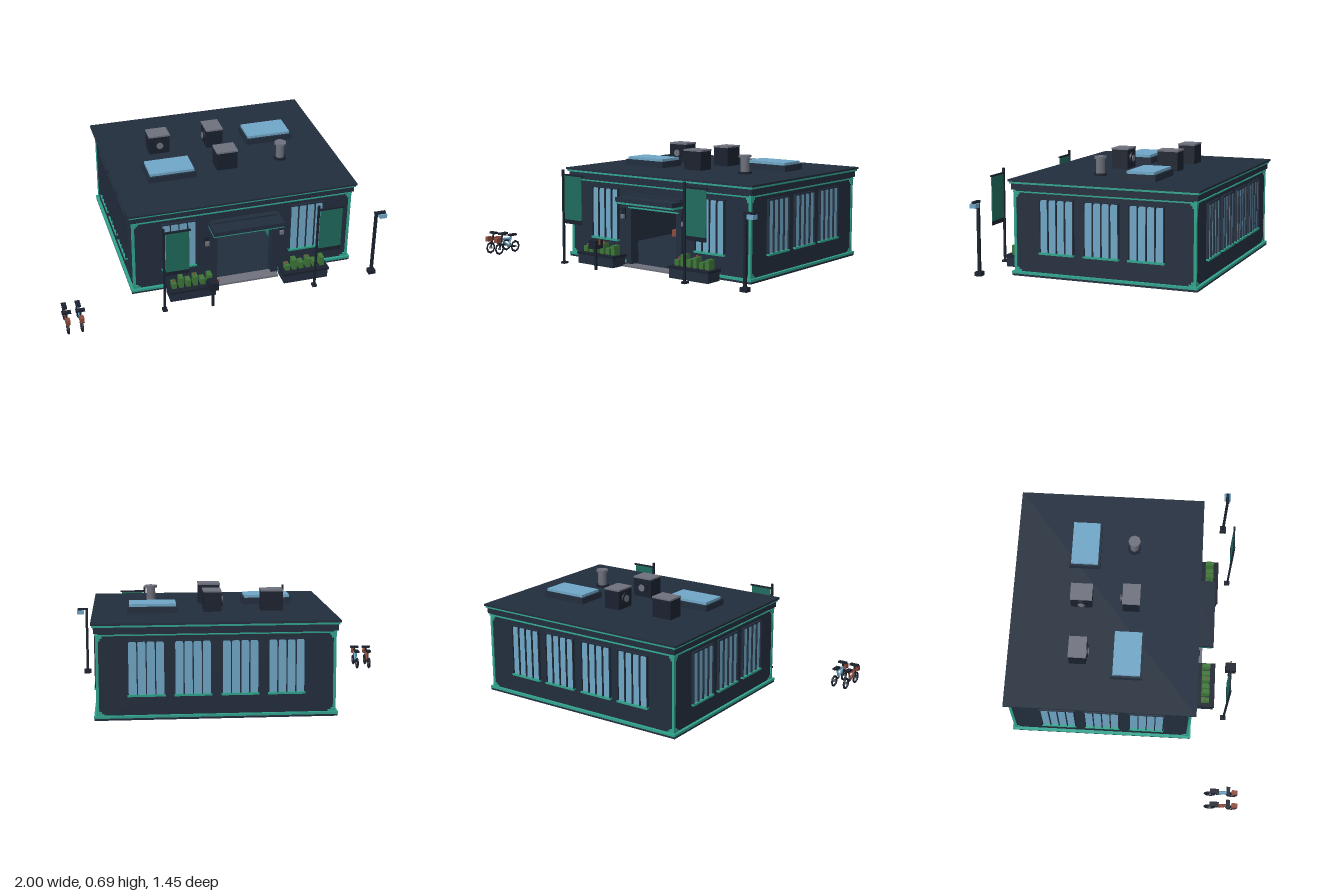
import * as THREE from 'three';

const mat = (name, color) => Object.assign(new THREE.MeshStandardMaterial({ color }), { name });

export function createModel() {
  const navy = mat('navy wall', 0x222d3d);
  const dark = mat('dark metal', 0x1a212e);
  const teal = mat('teal trim', 0x30a38d);
  const cloth = mat('banner green', 0x1f6a5c);
  const blue = mat('glass blue', 0x6fa6c6);
  const grey = mat('grey metal', 0x6e717c);
  const leaf = mat('leaf green', 0x3d7538);
  const rust = mat('rust red', 0x8c4a3a);
  const model = new THREE.Group();
  model.name = 'building';

  const add = (parent, name, geo, m, x = 0, y = 0, z = 0) => {
    const mesh = new THREE.Mesh(geo, m);
    mesh.name = name;
    mesh.position.set(x, y, z);
    parent.add(mesh);
    return mesh;
  };
  // box given by its limits on each axis
  const box = (parent, name, m, x0, x1, y0, y1, z0, z1) =>
    add(parent, name, new THREE.BoxGeometry(x1 - x0, y1 - y0, z1 - z0), m,
      (x0 + x1) / 2, (y0 + y1) / 2, (z0 + z1) / 2);
  const group = (name, x = 0, y = 0, z = 0, ry = 0) => {
    const g = new THREE.Group();
    g.name = name;
    g.position.set(x, y, z);
    g.rotation.y = ry;
    model.add(g);
    return g;
  };

  // shell: floor, walls with a doorway, roof
  const X0 = -0.52, X1 = 0.84, Z0 = -0.70, Z1 = 0.395, T = 0.03;
  const shell = group('shell');
  box(shell, 'floor', navy, X0 + T, X1 - T, 0.006, 0.014, Z0 + T, Z1);
  box(shell, 'backWall', navy, X0, X1, 0.005, 0.53, Z0, Z0 + T);
  box(shell, 'rightWall', navy, X0, X0 + T, 0.005, 0.53, Z0 + T, Z1 - T);
  box(shell, 'leftWall', navy, X1 - T, X1, 0.005, 0.53, Z0 + T, Z1 - T);
  box(shell, 'frontWallRight', navy, X0, -0.01, 0.005, 0.53, Z1 - T, Z1);
  box(shell, 'frontWallLeft', navy, 0.335, X1, 0.005, 0.53, Z1 - T, Z1);
  box(shell, 'wallAboveDoor', navy, -0.01, 0.335, 0.36, 0.53, Z1 - T, Z1);
  box(shell, 'cornice', navy, X0 - 0.015, X1 + 0.015, 0.5, 0.536, Z0 - 0.015, Z1 + 0.015);
  box(shell, 'roof', navy, -0.55, 0.87, 0.548, 0.56, -0.73, 0.425);

  // trim running round the walls, open in front of the doorway when low
  const band = (name, m, out, y0, y1, gap) => {
    const a = X0 - out, b = X1 + out, c = Z0 - out, d = Z1 + out;
    box(shell, name, m, a, b, y0, y1, c, Z0);
    box(shell, name, m, a, X0, y0, y1, Z0, Z1);
    box(shell, name, m, X1, b, y0, y1, Z0, Z1);
    if (gap) {
      box(shell, name, m, a, -0.05, y0, y1, Z1, d);
      box(shell, name, m, 0.38, b, y0, y1, Z1, d);
    } else box(shell, name, m, a, b, y0, y1, Z1, d);
  };
  band('basePlinth', navy, 0.016, 0, 0.012, true);
  band('baseTrim', teal, 0.018, 0.012, 0.026, true);
  band('upperTrim', teal, 0.008, 0.485, 0.492, false);
  box(shell, 'roofTrim', teal, -0.543, 0.863, 0.536, 0.548, -0.723, 0.418);

  // corner posts with stepped feet and capitals
  for (const [x, sx] of [[X0, -1], [X1, 1]]) for (const [z, sz] of [[Z0, -1], [Z1, 1]]) {
    const block = (name, s, h, y) => add(shell, name, new THREE.BoxGeometry(s, h, s), teal,
      x - sx * (s / 2 - 0.005), y, z - sz * (s / 2 - 0.005));
    block('cornerPost', 0.016, 0.5, 0.26);
    block('cornerFoot', 0.045, 0.012, 0.03);
    block('cornerFoot', 0.03, 0.014, 0.042);
    block('cornerCapital', 0.036, 0.014, 0.478);
    block('cornerCapital', 0.026, 0.014, 0.464);
  }

  // tall windows: four panes with deep bars
  const pane = new THREE.Shape([[-0.024, 0], [0.024, 0], [0.024, 0.29], [0.016, 0.305],
    [-0.016, 0.305], [-0.024, 0.29]].map(p => new THREE.Vector2(...p)));
  const paneGeo = new THREE.ExtrudeGeometry(pane, { depth: 0.006, bevelEnabled: false });
  const windowAt = (x, z, ry) => {
    const w = group('window', x, 0.147, z, ry);
    for (let i = 0; i < 4; i++) add(w, 'pane', paneGeo, blue, -0.078 + i * 0.052, 0, 0);
    for (let i = 0; i < 5; i++) {
      const bx = -0.104 + i * 0.052;
      box(w, 'bar', navy, bx - 0.003, bx + 0.003, 0, 0.305, 0, 0.016);
    }
    box(w, 'windowHead', navy, -0.108, 0.108, 0.305, 0.313, 0, 0.014);
    box(w, 'sill', teal, -0.108, 0.108, -0.012, 0, 0, 0.02);
  };
  for (const x of [-0.24, 0.56]) windowAt(x, Z1, 0);
  for (const x of [-0.24, 0.025, 0.295, 0.56]) windowAt(x, Z0, Math.PI);
  for (const z of [0.13, -0.145, -0.415]) {
    windowAt(X1, z, Math.PI / 2);
    windowAt(X0, z, -Math.PI / 2);
  }

  // entrance: pilasters, canopy, step, wall lamps
  const door = group('entrance');
  for (const [a, b] of [[-0.05, -0.01], [0.335, 0.378]]) box(door, 'pilaster', navy, a, b, 0, 0.38, Z1, 0.43);
  box(door, 'lintel', navy, -0.01, 0.335, 0.36, 0.38, Z1, 0.425);
  box(door, 'lintelTrim', teal, -0.03, 0.355, 0.352, 0.36, Z1 - T, 0.432);
  box(door, 'canopyTrim', teal, -0.055, 0.38, 0.386, 0.398, Z1, 0.512);
  box(door, 'canopy', navy, -0.055, 0.38, 0.398, 0.425, Z1, 0.52);
  box(door, 'canopyBracket', navy, -0.04, 0.365, 0.425, 0.435, Z1, 0.43);
  box(door, 'doorStep', grey, -0.04, 0.37, 0, 0.012, 0.37, 0.47);
  for (const x of [-0.073, 0.394]) {
    box(door, 'wallLampBack', dark, x - 0.012, x + 0.012, 0.28, 0.34, Z1, 0.425);
    box(door, 'wallLamp', grey, x - 0.012, x + 0.012, 0.285, 0.31, 0.425, 0.44);
    box(door, 'wallLampCap', dark, x - 0.016, x + 0.016, 0.34, 0.348, Z1, 0.442);
  }

  // interior: counter with stepped diamond, glass wall, hanging ring
  const room = group('interior');
  box(room, 'counter', navy, -0.03, 0.36, 0.014, 0.165, -0.28, -0.18);
  box(room, 'counterTop', grey, -0.04, 0.37, 0.165, 0.172, -0.29, -0.17);
  [0.012, 0.028, 0.05, 0.076, 0.05, 0.028, 0.012].forEach((w, i) =>
    box(room, 'diamond', teal, 0.168 - w / 2, 0.168 + w / 2, 0.062 + i * 0.012, 0.074 + i * 0.012, -0.18, -0.174));
  box(room, 'glassWall', blue, -0.04, 0.37, 0.15, 0.45, -0.668, -0.662);
  const ring = add(room, 'hangingRing', new THREE.TorusGeometry(0.095, 0.014, 4, 16), teal, 0.163, 0.375, -0.4);
  ring.scale.z = 0.5;
  box(room, 'screen', dark, 0.05, 0.12, 0.205, 0.24, -0.24, -0.23);
  box(room, 'screenFace', cloth, 0.056, 0.114, 0.21, 0.235, -0.23, -0.227);
  box(room, 'screenStand', dark, 0.08, 0.09, 0.172, 0.205, -0.24, -0.23);
  box(room, 'deskPlant', leaf, 0.23, 0.258, 0.172, 0.205, -0.24, -0.22);
  box(room, 'deskPot', rust, 0.275, 0.295, 0.172, 0.192, -0.24, -0.22);
  box(room, 'rug', cloth, 0.02, 0.345, 0.002, 0.018, -0.43, -0.08);
  box(room, 'rug', cloth, 0.44, 0.8, 0.002, 0.018, -0.22, 0.13);
  for (const [x, z, m] of [[0.5, 0.1, rust], [-0.4, -0.5, rust], [0.5, -0.5, grey], [-0.4, 0.3, grey], [0.72, -0.2, grey]])
    box(room, 'pot', m, x - 0.025, x + 0.025, 0.002, 0.06, z - 0.025, z + 0.025);

  // roof: skylights, cooling units, vent
  for (const [x, z] of [[-0.195, -0.005], [0.515, -0.302]]) {
    const s = group('skylight', x, 0.56, z);
    box(s, 'curb', navy, -0.15, 0.15, 0, 0.038, -0.096, 0.096);
    box(s, 'skylightGlass', blue, -0.138, 0.138, 0.038, 0.054, -0.083, 0.083);
  }
  for (const [x, z, ry] of [[-0.195, -0.303, 0], [0.16, -0.303, -Math.PI / 2], [0.16, 0, Math.PI]]) {
    const u = group('coolingUnit', x, 0.56, z, ry);
    box(u, 'unitBody', dark, -0.065, 0.065, 0, 0.115, -0.052, 0.052);
    box(u, 'unitTop', grey, -0.067, 0.067, 0.115, 0.125, -0.054, 0.054);
    const fan = add(u, 'fan', new THREE.CylinderGeometry(0.038, 0.038, 0.012, 12), dark, 0, 0.06, 0.056);
    const hub = add(u, 'fanHub', new THREE.CylinderGeometry(0.022, 0.022, 0.004, 12), grey, 0, 0.06, 0.064);
    fan.rotation.x = hub.rotation.x = Math.PI / 2;
  }
  const vent = group('vent', 0.517, 0.56, 0);
  add(vent, 'ventBase', new THREE.CylinderGeometry(0.042, 0.042, 0.012, 8), dark, 0, 0.006, 0);
  add(vent, 'ventPipe', new THREE.CylinderGeometry(0.027, 0.027, 0.09, 8), grey, 0, 0.055, 0);
  add(vent, 'ventCap', new THREE.CylinderGeometry(0.038, 0.038, 0.014, 8), grey, 0, 0.105, 0);

  // banners on poles
  for (const x of [-0.385, 0.55]) {
    const b = group('banner', x, 0, 0.62);
    box(b, 'bannerPole', dark, -0.006, 0.006, 0, 0.575, -0.006, 0.006);
    box(b, 'poleBase', dark, -0.014, 0.014, 0, 0.012, -0.02, 0.014);
    box(b, 'crossbar', dark, 0, 0.16, 0.54, 0.55, -0.005, 0.005);
    box(b, 'bannerCloth', cloth, 0.012, 0.15, 0.275, 0.54, -0.003, 0.003);
    box(b, 'bannerHem', dark, 0.012, 0.15, 0.25, 0.275, -0.003, 0.003);
  }

  // planters with clipped shrubs
  for (const x of [-0.192, 0.52]) {
    const p = group('planter', x, 0, 0.495);
    box(p, 'planterBox', navy, -0.14, 0.14, 0, 0.062, -0.055, 0.055);
    box(p, 'planterRim', dark, -0.147, 0.147, 0.056, 0.07, -0.06, 0.06);
    for (let i = 0; i < 6; i++) {
      const sx = -0.118 + i * 0.044, h = [0.105, 0.138, 0.115, 0.132, 0.108, 0.128][i];
      box(p, 'shrub', leaf, sx - 0.004, sx + 0.024, 0.07, h, -0.025, 0.025);
      if (i % 3 === 0) box(p, 'flower', rust, sx + 0.004, sx + 0.014, h, h + 0.012, -0.005, 0.005);
    }
  }

  // street lamp
  const lamp = group('streetLamp', 0.937, 0, 0.58);
  box(lamp, 'lampBase', dark, -0.022, 0.022, 0, 0.025, -0.02, 0.02);
  box(lamp, 'lampPole', dark, -0.008, 0.008, 0.025, 0.43, -0.008, 0.008);
  box(lamp, 'lampArm', dark, -0.01, 0.058, 0.428, 0.44, -0.01, 0.01);
  box(lamp, 'lampGlass', blue, 0.018, 0.063, 0.402, 0.428, -0.02, 0.02);

  // mailbox
  const mail = group('mailbox', -0.098, 0, 0.648);
  box(mail, 'mailPost', dark, -0.007, 0.007, 0, 0.13, -0.007, 0.007);
  box(mail, 'mailBody', dark, -0.027, 0.027, 0.13, 0.18, -0.033, 0.033);
  box(mail, 'mailFlag', rust, 0.027, 0.036, 0.155, 0.185, -0.004, 0.004);

  // parked bicycles
  const wheelGeo = new THREE.TorusGeometry(0.032, 0.007, 4, 8).rotateY(Math.PI / 2);
  const bar = (parent, name, m, a, b, r) => {
    const p = new THREE.Vector3(0, ...a), q = new THREE.Vector3(0, ...b);
    const t = add(parent, name, new THREE.CylinderGeometry(r, r, p.distanceTo(q), 6), m);
    t.position.copy(p).add(q).multiplyScalar(0.5);
    t.quaternion.setFromUnitVectors(new THREE.Vector3(0, 1, 0), q.sub(p).normalize());
  };
  [[-0.973, rust], [-0.892, blue]].forEach(([x, paint]) => {
    const b = group('bicycle', x, 0, 0);
    for (const z of [0.683, 0.548]) {
      add(b, 'wheel', wheelGeo, dark, 0, 0.039, z);
      box(b, 'hub', grey, -0.008, 0.008, 0.033, 0.045, z - 0.006, z + 0.006);
    }
    bar(b, 'fork', dark, [0.039, 0.683], [0.13, 0.655], 0.006);
    bar(b, 'topTube', paint, [0.1, 0.66], [0.095, 0.582], 0.007);
    bar(b, 'downTube', paint, [0.095, 0.663], [0.045, 0.605], 0.007);
    bar(b, 'seatTube', paint, [0.045, 0.605], [0.112, 0.578], 0.006);
    bar(b, 'chainStay', dark, [0.045, 0.605], [0.039, 0.548], 0.006);
    box(b, 'saddle', dark, -0.014, 0.014, 0.11, 0.122, 0.545, 0.6);
    box(b, 'handlebar', dark, -0.027, 0.027, 0.125, 0.138, 0.645, 0.667);
    box(b, 'basket', rust, -0.013, 0.013, 0.082, 0.112, 0.68, 0.715);
  });
  return model;
}
